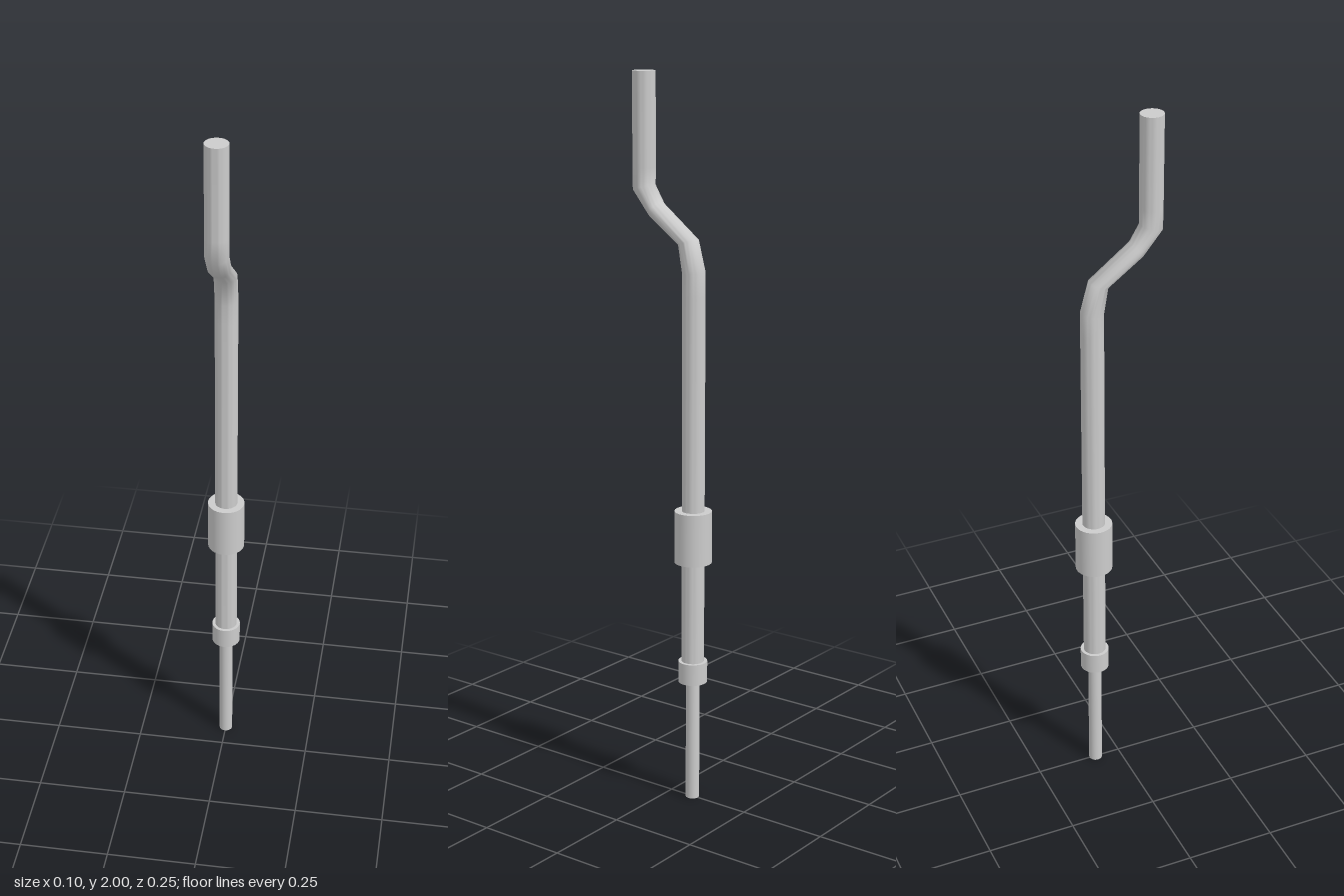
import * as THREE from 'three';
import { toCreasedNormals } from 'three/addons/utils/BufferGeometryUtils.js';

const SIDES = 32;
const LOWER_Z = -0.073; // axis of the lower straight run
const UPPER_Z = 0.091;  // axis of the offset upper run
const PIPE_R = 0.031;

export function createModel() {
  const group = new THREE.Group();
  const material = new THREE.MeshStandardMaterial({ color: 0xcccccc });

  function add(name, geometry) {
    const mesh = new THREE.Mesh(geometry, material);
    mesh.name = name;
    group.add(mesh);
    return mesh;
  }

  // Straight round part on the lower axis, between two heights
  function round(name, radius, y0, y1) {
    const mesh = add(name, new THREE.CylinderGeometry(radius, radius, y1 - y0, SIDES));
    mesh.position.set(0, (y0 + y1) / 2, LOWER_Z);
  }

  round('thinRod', 0.019, 0, 0.36);
  round('smallCollar', 0.04, 0.345, 0.405);
  round('largeCollar', 0.051, 0.69, 0.835);

  // Cranked pipe: rings from top to bottom as
  // [centre y, centre z, front offset in y, front offset in z]
  const rings = [
    [2.0, UPPER_Z, 0, PIPE_R],
    [1.75, UPPER_Z, 0, PIPE_R],
    [1.697, UPPER_Z, -0.008, 0.03],
    [1.641, 0.05, -0.019, 0.014],
    [1.563, -0.055, -0.008, 0.025],
    [1.483, LOWER_Z, -0.003, PIPE_R],
    [1.42, LOWER_Z, 0, PIPE_R],
    [0.39, LOWER_Z, 0, PIPE_R],
  ];
  const rows = rings.length - 1;
  const pipe = new THREE.CylinderGeometry(PIPE_R, PIPE_R, rows, SIDES, rows);
  const pos = pipe.attributes.position;
  for (let i = 0; i < pos.count; i++) {
    const [cy, cz, dy, dz] = rings[Math.round(rows / 2 - pos.getY(i))];
    const t = pos.getZ(i) / PIPE_R;
    pos.setXYZ(i, pos.getX(i), cy + dy * t, cz + dz * t);
  }
  add('crankedPipe', toCreasedNormals(pipe, 1.0));

  return group;
}
